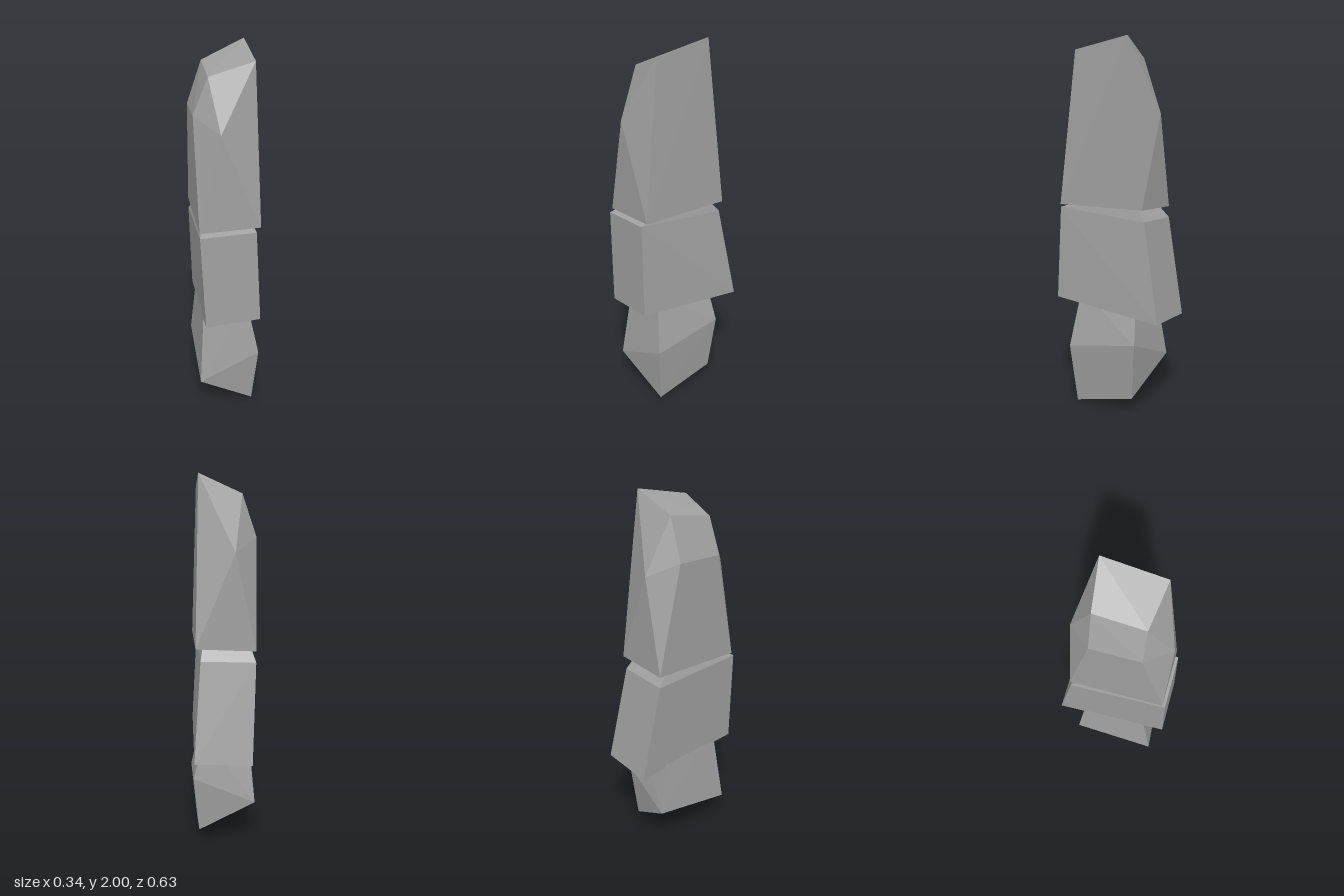
import * as THREE from 'three';
import { ConvexGeometry } from 'three/addons/geometries/ConvexGeometry.js';

const grey = new THREE.MeshStandardMaterial({ color: 0xa0a0a0 });
grey.name = 'plain grey';

// Faceted solid wrapped around a handful of corner points
function facetedBlock(name, corners) {
  const geometry = new ConvexGeometry(corners.map((c) => new THREE.Vector3(...c)));
  const mesh = new THREE.Mesh(geometry, grey);
  mesh.name = name;
  return mesh;
}

export function createModel() {
  const model = new THREE.Group();
  model.name = 'segmentedBlade';

  // Tall upper segment with a chamfered, slanted tip
  model.add(facetedBlock('upperSegment', [
    [-0.16, 1.105, 0.29], [0.155, 1.12, 0.29], [0.155, 1.12, -0.215], [-0.16, 1.105, -0.215],
    [-0.05, 1.61, 0.29], [-0.05, 1.61, -0.215],
    [-0.17, 1.68, 0.163], [-0.17, 1.68, -0.09],
    [-0.095, 1.865, 0.163], [-0.095, 1.9, -0.09],
    [0.13, 1.94, 0.2], [0.13, 2.0, -0.115],
  ]));

  // Middle segment flaring to the back, its crown tucked into the upper one
  model.add(facetedBlock('middleSegment', [
    [-0.135, 0.57, 0.315], [0.157, 0.595, 0.315], [0.17, 0.53, -0.315], [-0.135, 0.515, -0.315],
    [-0.16, 1.085, 0.305], [0.13, 1.1, 0.305], [0.13, 1.055, -0.215], [-0.16, 1.045, -0.215],
    [-0.13, 1.14, 0.15], [0.11, 1.15, 0.15], [0.11, 1.15, -0.135], [-0.13, 1.14, -0.135],
  ]));

  // Lower segment with a slanted point, its neck tucked into the middle one
  model.add(facetedBlock('lowerSegment', [
    [-0.13, 0.64, 0.19], [0.105, 0.64, 0.19], [0.105, 0.62, -0.155], [-0.13, 0.62, -0.155],
    [0.17, 0.325, 0.23], [0.17, 0.395, -0.18],
    [-0.16, 0.18, 0.255], [-0.16, 0.26, -0.21],
    [0.14, 0, 0.2], [0.14, 0.08, -0.15],
  ]));

  return model;
}
